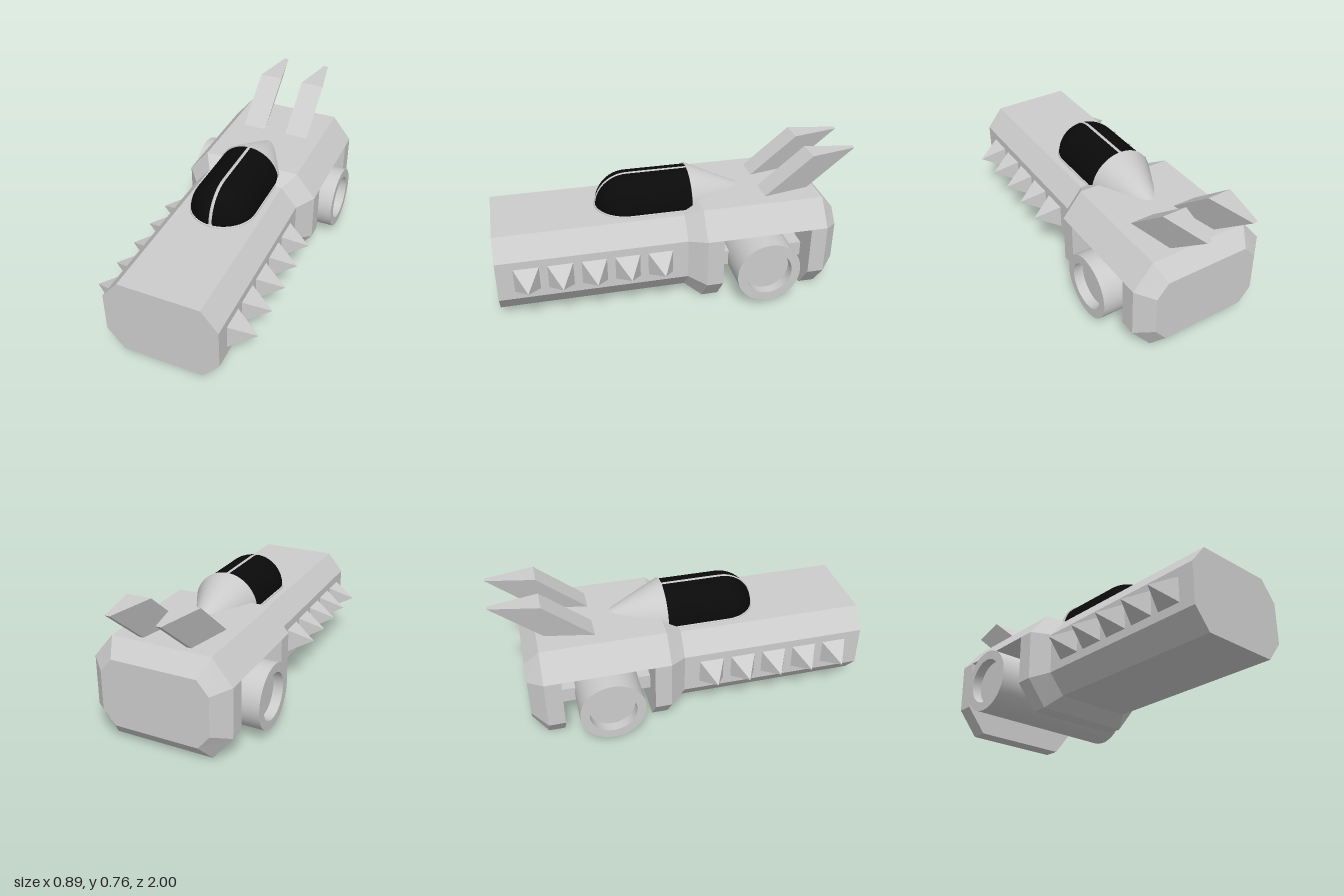
import * as THREE from 'three';
import { toCreasedNormals } from 'three/addons/utils/BufferGeometryUtils.js';

const flat = new THREE.MeshStandardMaterial({ color: 0xcccccc, flatShading: true });
const smooth = new THREE.MeshStandardMaterial({ color: 0xcccccc, side: THREE.DoubleSide });
const glass = new THREE.MeshStandardMaterial({ color: 0x0a0a0a, side: THREE.DoubleSide });

// Skin a list of matching rings (counter-clockwise seen from the first end) and cap both ends
function loft(rings) {
  const pos = [];
  const tri = (...pts) => pts.forEach((p) => pos.push(...p));
  const n = rings[0].length;
  for (let r = 0; r < rings.length - 1; r++) {
    const a = rings[r], b = rings[r + 1];
    for (let i = 0; i < n; i++) {
      const j = (i + 1) % n;
      tri(a[i], b[i], b[j]);
      tri(a[i], b[j], a[j]);
    }
  }
  const first = rings[0], last = rings[rings.length - 1];
  for (let i = 1; i < n - 1; i++) {
    tri(first[0], first[i], first[i + 1]);
    tri(last[0], last[i + 1], last[i]);
  }
  const g = new THREE.BufferGeometry();
  g.setAttribute('position', new THREE.Float32BufferAttribute(pos, 3));
  g.computeVertexNormals();
  return g;
}

// Octagonal hull section: w/c = half widths at side and top, y0..y3 = corner heights
const octagon = (z, w, c, y0, y1, y2, y3) => [
  [c, y0, z], [w, y1, z], [w, y2, z], [c, y3, z],
  [-c, y3, z], [-w, y2, z], [-w, y1, z], [-c, y0, z],
];
const slim = (z) => octagon(z, 0.31, 0.22, 0.055, 0.165, 0.39, 0.5);
const wide = (z) => octagon(z, 0.385, 0.275, 0, 0.14, 0.415, 0.55);

// Upper half of a revolved profile of [radius, z], lying along z at deck height
function halfLathe(profile) {
  const pts = profile.map(([r, z]) => new THREE.Vector2(r, z));
  const g = new THREE.LatheGeometry(pts, 40, Math.PI / 2, Math.PI);
  g.rotateX(Math.PI / 2).translate(0, 0.5, 0);
  return toCreasedNormals(g, 0.6);
}

export function createModel() {
  const model = new THREE.Group();
  const add = (name, geometry, material, parent = model) => {
    const mesh = new THREE.Mesh(geometry, material);
    mesh.name = name;
    parent.add(mesh);
    return mesh;
  };
  const subgroup = (name) => {
    const g = new THREE.Group();
    g.name = name;
    model.add(g);
    return g;
  };

  // Hull: long nose, roof bridging the wheel well, bevelled tail
  add('frontHull', loft([slim(1), slim(-0.02), wide(-0.11), wide(-0.2)]), flat);
  const roof = (z) => [[0.385, 0.415, z], [0.275, 0.55, z], [-0.275, 0.55, z], [-0.385, 0.415, z]];
  add('wellRoof', loft([roof(-0.2), roof(-0.69)]), flat);
  add('rearHull', loft([
    wide(-0.69), wide(-0.78), octagon(-0.86, 0.3, 0.235, 0.09, 0.17, 0.385, 0.46),
  ]), flat);

  // Roller with recessed hubs, held by a bar across the well
  const rim = [[0, -0.39], [0.127, -0.39], [0.127, -0.445], [0.177, -0.445],
    [0.177, 0.445], [0.127, 0.445], [0.127, 0.39], [0, 0.39]];
  const roller = new THREE.LatheGeometry(rim.map(([r, y]) => new THREE.Vector2(r, y)), 48);
  roller.rotateZ(Math.PI / 2);
  add('wheelRoller', toCreasedNormals(roller, 0.6), smooth).position.set(0, 0.212, -0.44);
  add('wheelMount', new THREE.BoxGeometry(0.5, 0.085, 0.5), flat).position.set(0, 0.212, -0.445);

  // Rows of pyramid spikes on both flanks
  const spikes = subgroup('spikes');
  for (const side of [1, -1]) {
    const spike = new THREE.ConeGeometry(0.067 * Math.SQRT2, 0.135, 4);
    spike.rotateY(Math.PI / 4).rotateZ(-side * Math.PI / 2);
    for (let i = 0; i < 5; i++) {
      add('spike', spike, flat, spikes).position.set(side * 0.3775, 0.278, 0.844 - i * 0.178);
    }
  }

  // Canopy: half cylinder with a rounded front
  const canopy = subgroup('canopy');
  const R = 0.178, front = 0.258;
  const dome = [[R, -0.085]];
  for (let i = 0; i <= 14; i++) {
    const a = (i / 14) * Math.PI / 2;
    dome.push([R * Math.cos(a), front + R * Math.sin(a)]);
  }
  add('canopyGlass', halfLathe(dome), glass, canopy);
  add('canopyTail', halfLathe([[0, -0.475], [0.184, -0.085], [0.184, -0.075], [0.174, -0.075]]), smooth, canopy);

  // Canopy frame: centre rib, sill and front bead
  const rib = [[0, 0.5 + R - 0.008, -0.08]];
  const sill = [[R - 0.003, 0.5, -0.03]];
  for (let i = 0; i <= 12; i++) {
    const a = (i / 12) * Math.PI / 2;
    rib.push([0, 0.5 + (R - 0.008) * Math.cos(a), front + (R - 0.008) * Math.sin(a)]);
  }
  for (let i = 0; i <= 24; i++) {
    const a = (i / 24) * Math.PI;
    sill.push([(R - 0.003) * Math.cos(a), 0.5, front + (R - 0.003) * Math.sin(a)]);
  }
  sill.push([-R + 0.003, 0.5, -0.03]);
  const tube = (pts, r) => new THREE.TubeGeometry(
    new THREE.CatmullRomCurve3(pts.map((p) => new THREE.Vector3(...p)), false, 'centripetal'), 64, r, 8);
  add('canopyRib', tube(rib, 0.012), smooth, canopy);
  add('canopySill', tube(sill, 0.009), smooth, canopy);
  add('canopyBead', new THREE.SphereGeometry(0.02, 16, 8, 0, Math.PI * 2, 0, Math.PI / 2), smooth, canopy)
    .position.set(0, 0.5, front + R - 0.012);

  // Swept wedge fins, broad in front and thin behind
  const fins = subgroup('tailFins');
  const finRing = (y, z) => [
    [0.067, y, z], [0.013, y, z - 0.262], [-0.013, y, z - 0.262], [-0.067, y, z],
  ];
  const fin = loft([finRing(0.765, -0.738), finRing(0.54, -0.465)]);
  for (const side of [1, -1]) add('tailFin', fin, flat, fins).position.x = side * 0.1325;

  return model;
}
